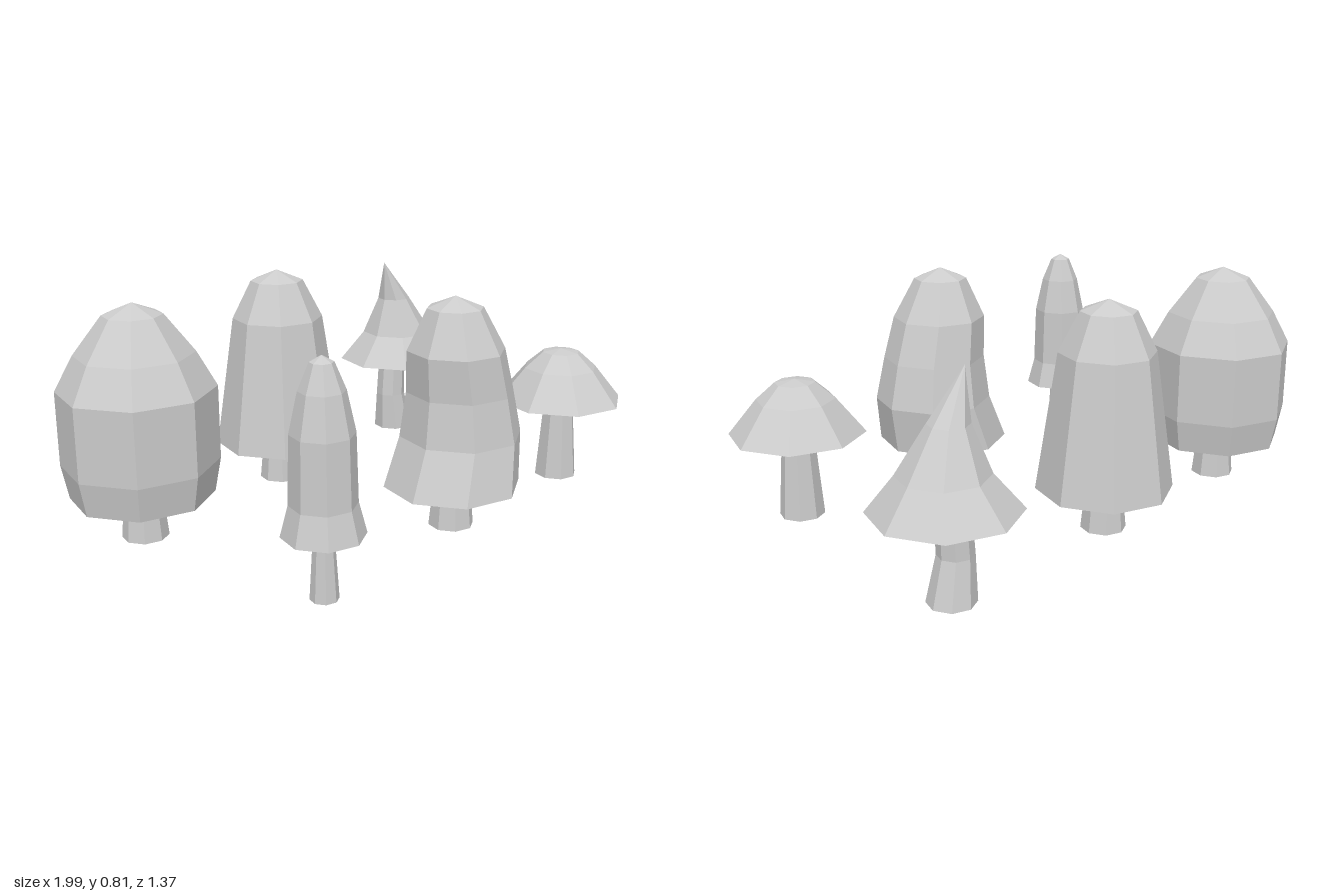
import * as THREE from 'three';

const SIDES = 8;
const material = new THREE.MeshStandardMaterial({
  color: 0xcccccc, flatShading: true, side: THREE.DoubleSide,
});

// Octagonal skin over rings [y, radius, xOffset], listed from bottom to top.
function loft(name, rings) {
  const positions = [];
  const corner = ([y, r, dx = 0], i) => {
    const a = (i / SIDES) * Math.PI * 2;
    return [dx + Math.sin(a) * r, y, Math.cos(a) * r];
  };
  for (let k = 0; k < rings.length - 1; k++) {
    const [low, high] = [rings[k], rings[k + 1]];
    for (let i = 0; i < SIDES; i++) {
      const a = corner(low, i), b = corner(low, i + 1);
      const c = corner(high, i + 1), d = corner(high, i);
      if (low[1] > 0) positions.push(...a, ...b, ...c);
      if (high[1] > 0) positions.push(...a, ...c, ...d);
    }
  }
  const geometry = new THREE.BufferGeometry();
  geometry.setAttribute('position', new THREE.Float32BufferAttribute(positions, 3));
  geometry.computeVertexNormals();
  const mesh = new THREE.Mesh(geometry, material);
  mesh.name = name;
  return mesh;
}

// hollow = height of the recess under the cap
const mushrooms = [
  {
    name: 'broadMushroom', x: -0.73, z: -0.42, hollow: 0.14,
    cap: [[0.15, 0.243], [0.27, 0.266], [0.525, 0.266], [0.645, 0.2], [0.775, 0.1], [0.815, 0]],
    stem: [[0, 0.08], [0.15, 0.065]],
  },
  {
    name: 'tallMushroom', x: -0.02, z: -0.42, hollow: 0.14,
    cap: [[0.15, 0.24], [0.635, 0.168], [0.775, 0.097], [0.815, 0]],
    stem: [[0, 0.08], [0.15, 0.065]],
  },
  {
    name: 'pointedMushroom', x: 0.755, z: -0.42, hollow: 0.08,
    cap: [[0.315, 0.24], [0.43, 0.145, 0.005], [0.58, 0.066, -0.02], [0.74, 0, -0.09]],
    stem: [[0.01, 0.08, -0.02], [0.16, 0.06, -0.04], [0.315, 0.056, -0.03]],
  },
  {
    name: 'smallMushroom', x: -0.73, z: 0.365, hollow: 0.1,
    cap: [[0.21, 0.132], [0.31, 0.106], [0.53, 0.1], [0.66, 0.072], [0.745, 0.037], [0.765, 0]],
    stem: [[0, 0.046], [0.21, 0.033]],
  },
  {
    name: 'wavyMushroom', x: -0.02, z: 0.365, hollow: 0.14,
    cap: [[0.15, 0.24], [0.32, 0.215, 0.05], [0.48, 0.188, 0.04], [0.63, 0.17, 0.01],
      [0.775, 0.097], [0.815, 0]],
    stem: [[0, 0.08], [0.15, 0.065]],
  },
  {
    name: 'flatMushroom', x: 0.62, z: 0.44, hollow: 0.08,
    cap: [[0.315, 0.24], [0.44, 0.138], [0.5, 0.07], [0.512, 0]],
    stem: [[0.01, 0.08], [0.315, 0.056]],
  },
];

export function createModel() {
  const group = new THREE.Group();
  group.name = 'mushrooms';
  for (const { name, x, z, hollow, cap, stem } of mushrooms) {
    const mushroom = new THREE.Group();
    mushroom.name = name;
    mushroom.position.set(x, 0, z);

    // Stem, carried on up into the recess of the cap
    const [, topRadius, topOffset = 0] = stem[stem.length - 1];
    const rim = cap[0];
    const joint = [rim[0] + hollow, topRadius, topOffset];
    mushroom.add(loft('stem', [...stem, joint]));

    // Cap, with its underside sloping up to the stem
    mushroom.add(loft('cap', cap));
    mushroom.add(loft('capUnderside', [joint, rim]));
    group.add(mushroom);
  }
  return group;
}
